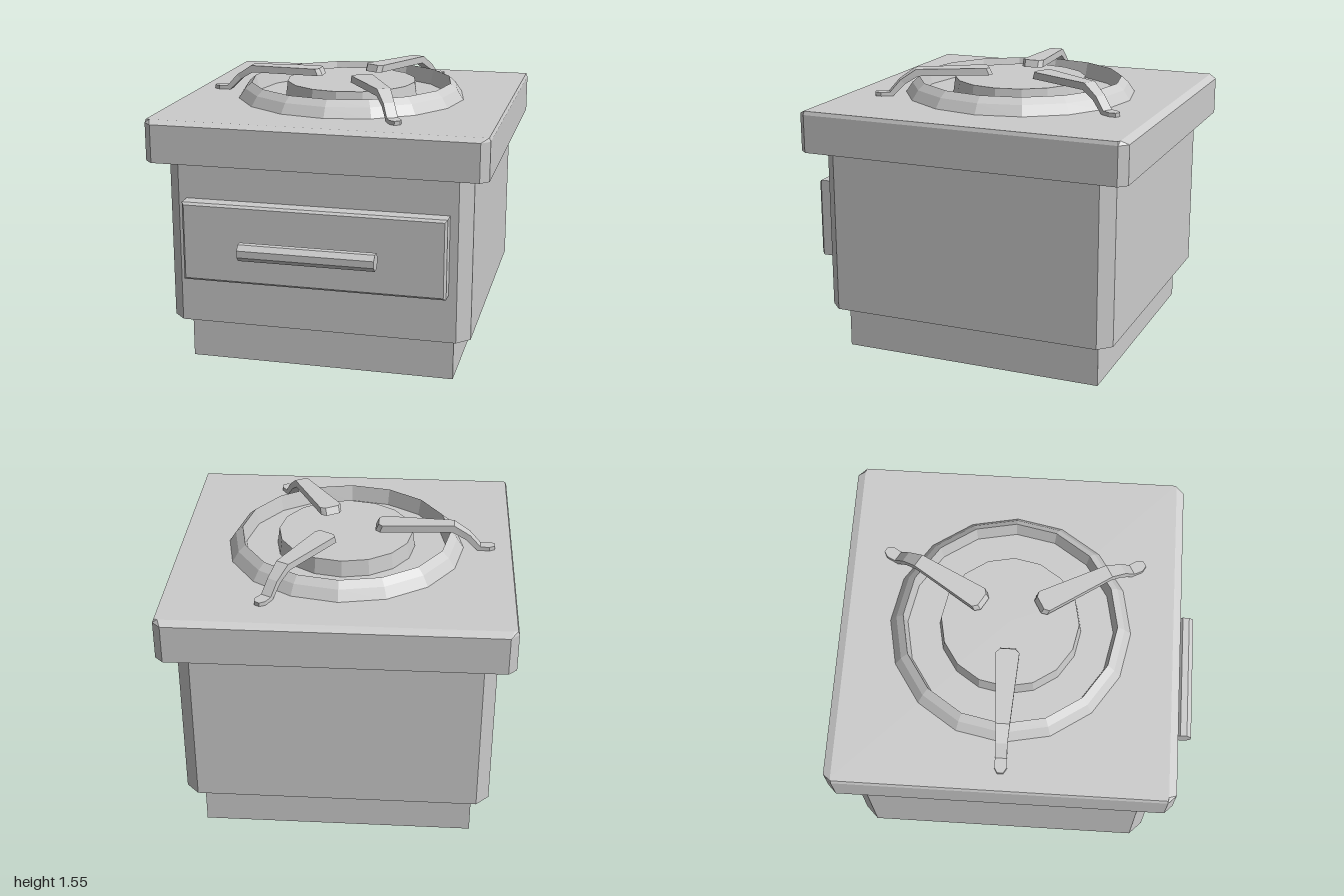
import * as THREE from 'three';

const material = new THREE.MeshStandardMaterial({ color: 0xcccccc, flatShading: true, side: THREE.DoubleSide });
const MID_Z = -0.07;

// Skin between matching rings of points, with optional flat ends
function loft(rings, capStart = false, capEnd = false) {
  const pos = [];
  const tri = (a, b, c) => {
    if (new THREE.Triangle(a, b, c).getArea() > 1e-8) for (const p of [a, b, c]) pos.push(p.x, p.y, p.z);
  };
  const n = rings[0].length;
  for (let i = 0; i < rings.length - 1; i++) {
    for (let j = 0; j < n; j++) {
      const k = (j + 1) % n, lo = rings[i], hi = rings[i + 1];
      tri(lo[j], lo[k], hi[k]);
      tri(lo[j], hi[k], hi[j]);
    }
  }
  const first = rings[0], last = rings[rings.length - 1];
  for (let j = 1; j < n - 1; j++) {
    if (capStart) tri(first[0], first[j + 1], first[j]);
    if (capEnd) tri(last[0], last[j], last[j + 1]);
  }
  const g = new THREE.BufferGeometry();
  g.setAttribute('position', new THREE.Float32BufferAttribute(pos, 3));
  g.computeVertexNormals();
  return g;
}

// Horizontal rectangle with cut corners: half width, half depth, cuts along x and z
function rect(y, w, d, cx = 0, cz = cx) {
  return [[w, d - cz], [w, cz - d], [w - cx, -d], [cx - w, -d],
    [-w, cz - d], [-w, d - cz], [cx - w, d], [w - cx, d]].map(([x, z]) => new THREE.Vector3(x, y, z));
}

export function createModel() {
  const model = new THREE.Group();
  const add = (name, geometry, x = 0, y = 0, z = 0, parent = model) => {
    const mesh = new THREE.Mesh(geometry, material);
    mesh.name = name;
    mesh.position.set(x, y, z);
    parent.add(mesh);
    return mesh;
  };

  // Hollow plinth, cabinet with chamfered corners, and overhanging top
  add('plinth', loft([rect(0, 0.745, 0.745), rect(0.25, 0.745, 0.745)]), 0, 0, MID_Z);
  add('cabinet', loft([
    rect(0.25, 0.745, 0.745), rect(0.25, 0.84, 0.835, 0.07), rect(1.17, 0.84, 0.835, 0.07),
  ]), 0, 0, MID_Z);
  add('worktop', loft([
    rect(1.17, 0.93, 0.93, 0.045), rect(1.38, 0.93, 0.93, 0.045), rect(1.4, 0.922, 0.888, 0.02, 0.005),
  ], false, true), 0, 0, MID_Z);

  // Drawer front with bevelled rim
  const drawer = loft([rect(0.765, 0.725, 0.22), rect(0.843, 0.725, 0.22), rect(0.857, 0.712, 0.207)], false, true);
  drawer.rotateX(Math.PI / 2);
  add('drawerFront', drawer, 0, 0.74, 0);

  // Octagonal bar handle on two posts
  const handle = new THREE.Group();
  handle.name = 'drawerHandle';
  model.add(handle);
  const bar = new THREE.CylinderGeometry(0.049, 0.049, 0.74, 8);
  bar.rotateY(Math.PI / 8);
  bar.rotateZ(Math.PI / 2);
  add('handleBar', bar, 0, 0.74, 0.955, handle);
  for (const s of [-1, 1]) add('handlePost', new THREE.BoxGeometry(0.055, 0.03, 0.08), s * 0.22, 0.74, 0.885, handle);

  // Raised ring around the burner
  const ring = [[0.66, 1.395], [0.62, 1.455], [0.58, 1.49], [0.56, 1.395]];
  add('burnerRing', new THREE.LatheGeometry(ring.map(([r, y]) => new THREE.Vector2(r, y)), 16), 0, 0, MID_Z);

  // Burner cap
  add('burnerCap', new THREE.CylinderGeometry(0.373, 0.386, 0.095, 16), 0, 1.4425, MID_Z);

  // Three bent pan supports: top radius, top y, bottom radius, bottom y, half width
  const sections = [
    [0.183, 1.55, 0.165, 1.51, 0.04],
    [0.205, 1.55, 0.19, 1.51, 0.063],
    [0.6, 1.55, 0.59, 1.51, 0.038],
    [0.69, 1.49, 0.665, 1.465, 0.031],
    [0.75, 1.422, 0.735, 1.397, 0.031],
    [0.8, 1.422, 0.8, 1.397, 0.034],
    [0.83, 1.422, 0.83, 1.397, 0.016],
  ].map(([rt, yt, rb, yb, h]) => [
    [rt, yt, -h], [rt, yt, h], [rb, yb, h], [rb, yb, -h],
  ].map((p) => new THREE.Vector3(...p)));
  const support = loft(sections, true, true);
  for (let i = 0; i < 3; i++) {
    add('panSupport', support, 0, 0, MID_Z).rotation.y = Math.PI + (i * Math.PI * 2) / 3;
  }

  return model;
}
